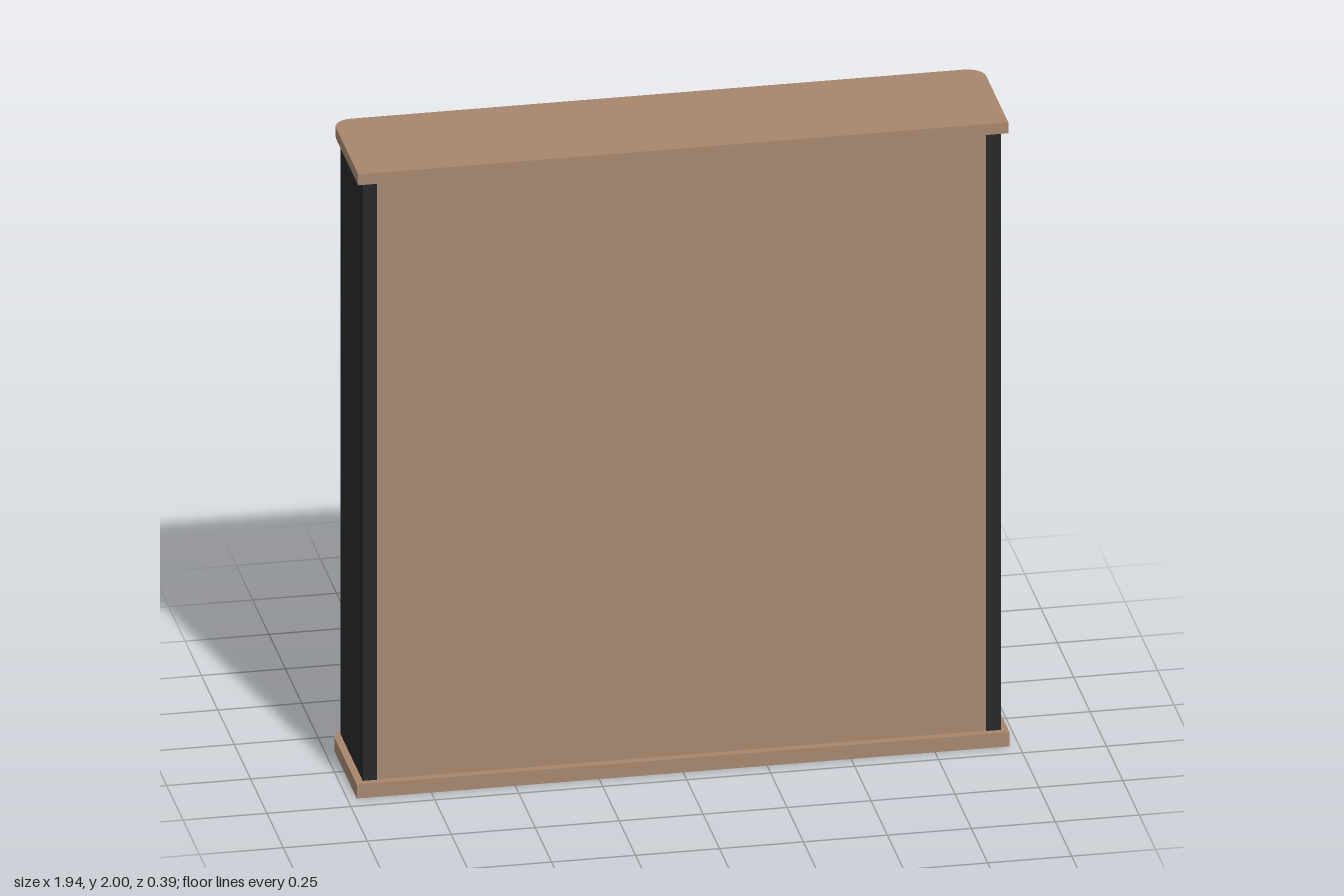
import * as THREE from 'three';

const material = (color) => new THREE.MeshStandardMaterial({ color, flatShading: true, side: THREE.DoubleSide });
const wood = material(0xa6866e), black = material(0x262829), pages = material(0xb8a6a2), gold = material(0xc8cf36);
const covers = {
  grey: material(0x575154), dark: material(0x474747), blue: material(0x6a68c8), orange: material(0xc0713a),
  purple: material(0x9440b8), pink: material(0xcc5468), pale: material(0xb5a5a3), sky: material(0x55aed2),
  rust: material(0xc96a45), yellow: material(0xb8b254), green: material(0x55b862), red: material(0xc85448),
  lime: material(0xa9bd50),
};

function add(parent, name, geometry, mat, x = 0, y = 0, z = 0) {
  const mesh = new THREE.Mesh(geometry, mat);
  mesh.name = name;
  mesh.position.set(x, y, z);
  parent.add(mesh);
  return mesh;
}
const box = (parent, name, mat, w, h, d, x, y, z) =>
  add(parent, name, new THREE.BoxGeometry(w, h, d), mat, x, y, z);

// Flat board with its two open-side corners rounded
function plate(halfW, thickness) {
  const r = 0.055, d = 0.197, s = new THREE.Shape();
  s.moveTo(-halfW, -d);
  s.lineTo(halfW, -d);
  s.lineTo(halfW, d - r);
  s.absarc(halfW - r, d - r, r, 0, Math.PI / 2);
  s.lineTo(-halfW + r, d);
  s.absarc(-halfW + r, d - r, r, Math.PI / 2, Math.PI);
  s.closePath();
  return new THREE.ExtrudeGeometry(s, { depth: thickness, bevelEnabled: false, curveSegments: 3 })
    .rotateX(-Math.PI / 2);
}

// Book: spine towards -z, two cover boards and a page block, leaning about its foot
function book(w, h, d, mat, lean) {
  const g = new THREE.Group(), t = Math.min(0.008, w * 0.13);
  g.name = 'book';
  box(g, 'spine', mat, w, h, t, 0, h / 2, -d / 2 + t / 2);
  for (const s of [-1, 1]) box(g, 'cover', mat, t, h, d - t, s * (w - t) / 2, h / 2, t / 2);
  box(g, 'pages', pages, w - 2 * t, h - 0.008, d - t - 0.006, 0, h / 2, t / 2 - 0.003);
  g.rotation.z = lean;
  return g;
}

// Books per shelf: centre x, width, cover, lean, height
const topRow = [
  [0.81, 0.06, 'grey', 0.2, 0.26], [0.71, 0.065], [0.64, 0.055], [0.575, 0.065], [0.505, 0.06], [0.425, 0.085],
  [0.245, 0.085], [0.165, 0.06], [0.055, 0.06], [-0.01, 0.06], [-0.08, 0.06, 'grey', 0.2, 0.26],
  [-0.18, 0.06], [-0.24, 0.055], [-0.31, 0.075], [-0.58, 0.085], [-0.765, 0.065], [-0.84, 0.07],
];
const middleRow = [
  [0.82, 0.095, 'blue'], [0.735, 0.07, 'orange', 0, 0.27], [0.655, 0.06, 'grey', 0.15], [0.59, 0.06, 'grey', 0.04],
  [0.53, 0.055], [0.475, 0.06], [0.395, 0.095, 'purple'], [0.3, 0.095, 'pink', 0, 0.27], [0.205, 0.085],
  [0.03, 0.06], [-0.04, 0.075], [-0.18, 0.085], [-0.345, 0.06], [-0.41, 0.065], [-0.545, 0.06],
  [-0.605, 0.06], [-0.685, 0.06, 'grey', 0.12], [-0.78, 0.085, 'pale', 0.09, 0.29],
];
const lowerRow = [
  [0.83, 0.11, 'sky', -0.13, 0.29], [0.74, 0.095, 'dark', 0, 0.27], [0.655, 0.065], [0.585, 0.065, 'rust', 0, 0.27],
  [0.52, 0.062, 'blue'], [0.46, 0.055], [0.395, 0.06], [0.325, 0.065, 'grey', 0.1], [0.19, 0.1, 'yellow', 0, 0.28],
  [0.08, 0.095, 'green', 0, 0.28], [-0.01, 0.07], [-0.1, 0.085, 'blue', 0, 0.28], [-0.17, 0.06], [-0.235, 0.07],
  [-0.41, 0.12, 'red', 0, 0.26], [-0.545, 0.07, 'grey', -0.25], [-0.655, 0.08, 'lime', -0.08, 0.29],
  [-0.735, 0.07], [-0.81, 0.05, 'rust', 0, 0.28], [-0.868, 0.058],
];

function bookRow(name, list, y) {
  const row = new THREE.Group();
  row.name = name;
  list.forEach(([x, w, cover = 'grey', lean = 0, height], i) => {
    const h = height ?? 0.24 + 0.006 * ((i * 2) % 3);
    const b = book(w, h, 0.19, covers[cover], lean);
    // the wide sky-coloured book stands proud of the shelf edge
    b.position.set(x, y + Math.sin(Math.abs(lean)) * w / 2, cover === 'sky' ? -0.098 : -0.06);
    row.add(b);
  });
  return row;
}

// Eight-sided cup with two handles and a star
function trophy() {
  const g = new THREE.Group();
  g.name = 'trophy';
  const profile = [[0, 0], [0.09, 0], [0.09, 0.02], [0.07, 0.035], [0.03, 0.055], [0.024, 0.1], [0.035, 0.17],
    [0.085, 0.2], [0.135, 0.27], [0.153, 0.36], [0.148, 0.43], [0.16, 0.45], [0.16, 0.475], [0.135, 0.475],
    [0.13, 0.36], [0.1, 0.27], [0, 0.22]].map(([r, y]) => new THREE.Vector2(r, y));
  add(g, 'cup', new THREE.LatheGeometry(profile, 8, Math.PI / 8), gold);
  for (const s of [-1, 1]) {
    const path = new THREE.CatmullRomCurve3([[0.13, 0.4], [0.185, 0.425], [0.225, 0.39], [0.22, 0.33], [0.18, 0.285],
      [0.12, 0.27]].map(([x, y]) => new THREE.Vector3(s * x, y, 0)));
    add(g, 'handle', new THREE.TubeGeometry(path, 10, 0.016, 6), gold);
  }
  const star = new THREE.Shape();
  for (let i = 0; i < 10; i++) {
    const a = Math.PI / 2 + i * Math.PI / 5, r = i % 2 ? 0.025 : 0.05;
    star[i ? 'lineTo' : 'moveTo'](r * Math.cos(a), r * Math.sin(a));
  }
  star.closePath();
  add(g, 'star', new THREE.ExtrudeGeometry(star, { depth: 0.025, bevelEnabled: false }),
    material(0xdcdcdc), 0, 0.355, -0.16);
  g.position.set(-0.66, 0.045, -0.02);
  g.rotation.y = -0.6;
  return g;
}

export function createModel() {
  const model = new THREE.Group();
  model.name = 'bookcase';

  // Carcass
  add(model, 'basePlate', plate(0.972, 0.045), wood);
  add(model, 'topPlate', plate(0.968, 0.035), wood, 0, 1.965, 0);
  for (const s of [-1, 1]) box(model, 'sidePanel', black, 0.043, 1.92, 0.34, s * 0.9285, 1.005, 0.005);
  box(model, 'backPanel', wood, 1.814, 1.92, 0.04, 0, 1.005, 0.152);

  // Shelves with their books
  [['lowerBooks', lowerRow, 0.83], ['middleBooks', middleRow, 1.235], ['topBooks', topRow, 1.64]]
    .forEach(([name, list, y]) => {
      box(model, 'shelf', wood, 1.814, 0.045, 0.293, 0, y - 0.0225, -0.0145);
      model.add(bookRow(name, list, y));
    });

  model.add(trophy());
  return model;
}
